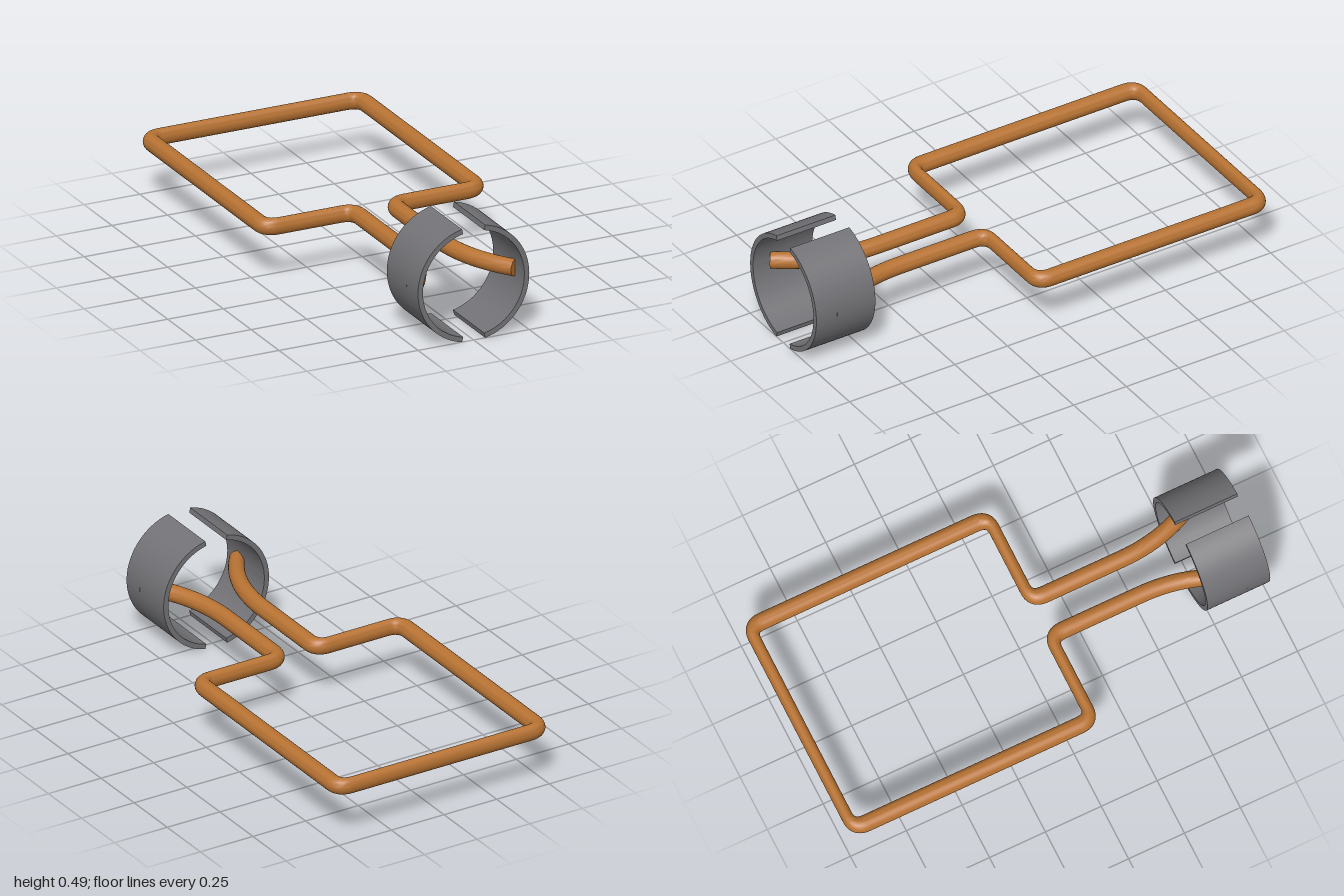
import * as THREE from 'three';
import { toCreasedNormals } from 'three/addons/utils/BufferGeometryUtils.js';

const MID_Y = 0.251;
const copper = new THREE.MeshStandardMaterial({ color: 0xb87333 });
const steel = new THREE.MeshStandardMaterial({ color: 0x737377 });

// Centreline in plan (x, z): half the loop with rounded corners and a flared end
function wirePath() {
  const v = (x, z) => new THREE.Vector2(x, z);
  const corners = [v(0, -0.977), v(0.48, -0.977), v(0.48, 0.094), v(0.085, 0.094), v(0.085, 0.5)];
  const half = [];
  for (let i = 1; i < corners.length - 1; i++) {
    const c = corners[i];
    const inPt = c.clone().add(corners[i - 1].clone().sub(c).setLength(0.06));
    const outPt = c.clone().add(corners[i + 1].clone().sub(c).setLength(0.06));
    half.push(...new THREE.QuadraticBezierCurve(inPt, c, outPt).getPoints(10));
  }
  half.push(...new THREE.QuadraticBezierCurve(corners[4], v(0.085, 0.74), v(0.225, 0.92)).getPoints(16));
  const mirrored = half.map((p) => v(-p.x, p.y)).reverse();
  return [...mirrored, ...half];
}

// Sweep an oval along the path; the bars running across are slimmer
function wireGeometry(path, sides = 24) {
  const positions = [], index = [];
  const last = path.length - 1;
  path.forEach((p, i) => {
    const before = p.clone().sub(path[Math.max(i - 1, 0)]).normalize();
    const after = path[Math.min(i + 1, last)].clone().sub(p).normalize();
    const t = before.add(after).normalize();
    const w = THREE.MathUtils.lerp(0.024, 0.035, Math.abs(t.y));
    for (let j = 0; j < sides; j++) {
      const a = (j / sides) * Math.PI * 2;
      positions.push(p.x + t.y * w * Math.cos(a), MID_Y + 0.036 * Math.sin(a), p.y - t.x * w * Math.cos(a));
    }
  });
  for (let i = 0; i < last; i++) {
    for (let j = 0; j < sides; j++) {
      const k = (j + 1) % sides;
      const a = i * sides + j, b = i * sides + k, c = b + sides, d = a + sides;
      index.push(a, b, d, b, c, d);
    }
  }
  // Flat end caps
  const end = last * sides;
  for (let j = 1; j < sides - 1; j++) {
    index.push(0, j + 1, j, end, end + j, end + j + 1);
  }
  const geo = new THREE.BufferGeometry();
  geo.setAttribute('position', new THREE.Float32BufferAttribute(positions, 3));
  geo.setIndex(index);
  return toCreasedNormals(geo, 0.7);
}

// Curved contact plate: an arc of a ring, extruded along z
function plateGeometry(centreAngle) {
  const spread = THREE.MathUtils.degToRad(78);
  const shape = new THREE.Shape();
  shape.absarc(0, 0, 0.25, centreAngle - spread, centreAngle + spread, false);
  shape.absarc(0, 0, 0.228, centreAngle + spread, centreAngle - spread, true);
  shape.closePath();
  const geo = new THREE.ExtrudeGeometry(shape, { depth: 0.28, bevelEnabled: false, curveSegments: 32 });
  return toCreasedNormals(geo, 0.6);
}

export function createModel() {
  const model = new THREE.Group();
  model.name = 'wireLoop';

  const wire = new THREE.Mesh(wireGeometry(wirePath()), copper);
  wire.name = 'copperWire';
  model.add(wire);

  for (const [name, angle] of [['leftContactPlate', 0], ['rightContactPlate', Math.PI]]) {
    const plate = new THREE.Mesh(plateGeometry(angle), steel);
    plate.name = name;
    plate.position.set(0, MID_Y, 0.72);
    model.add(plate);
  }
  return model;
}
